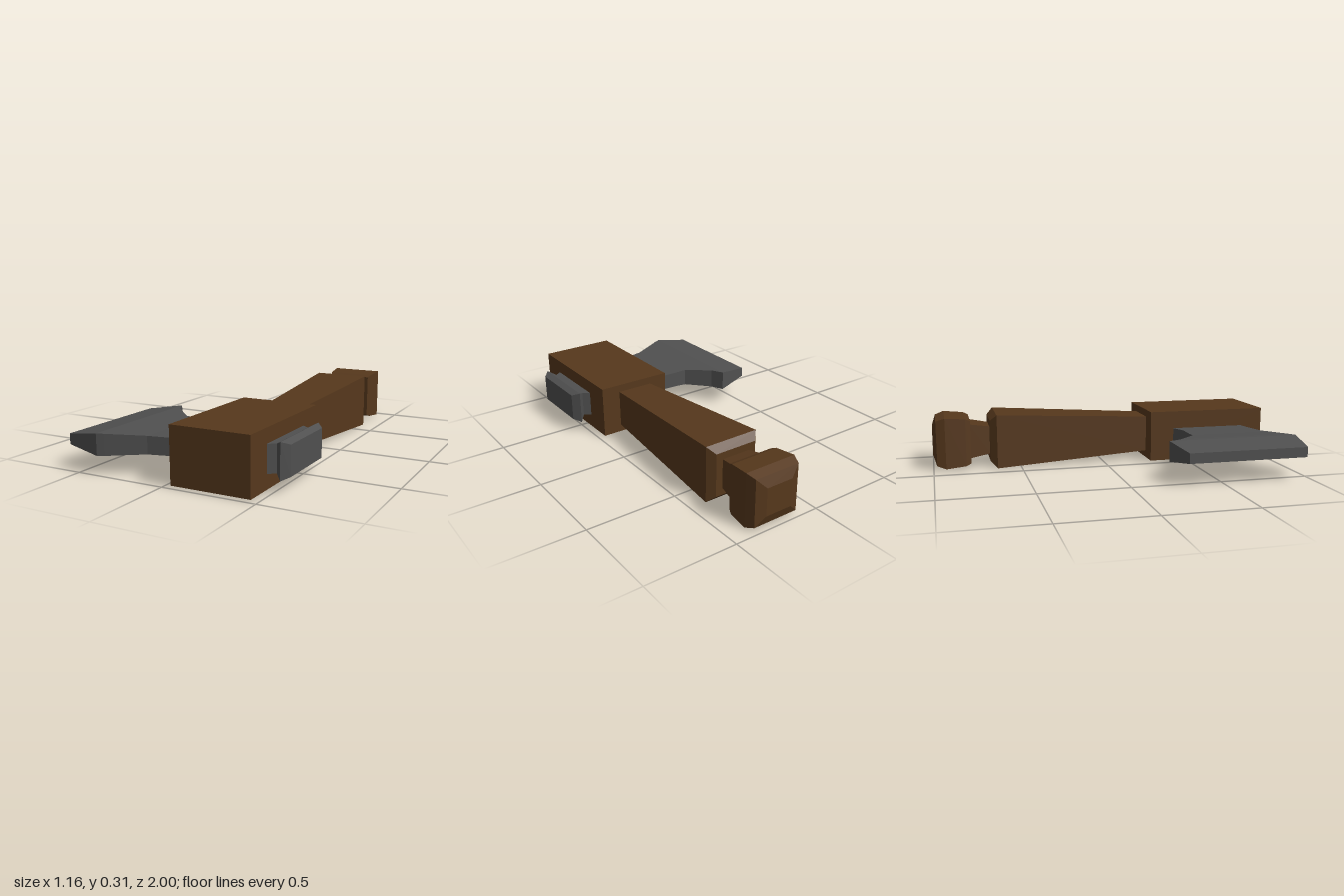
import * as THREE from 'three';

const CX = 0.25, CY = 0.159; // handle axis

// Flat-sided solid through rectangular sections [t, u0, u1, v0, v1], t increasing.
// place maps (t, u, v) to an [x, y, z] point.
function loft(sections, place) {
  const pos = [], idx = [];
  for (const [t, u0, u1, v0, v1] of sections) {
    for (const [u, v] of [[u0, v0], [u1, v0], [u1, v1], [u0, v1]]) pos.push(...place(t, u, v));
  }
  for (let i = 0; i < sections.length - 1; i++) {
    for (let k = 0; k < 4; k++) {
      const a = i * 4 + k, b = i * 4 + (k + 1) % 4;
      idx.push(a, b, b + 4, a, b + 4, a + 4);
    }
  }
  const e = (sections.length - 1) * 4;
  idx.push(0, 2, 1, 0, 3, 2, e, e + 1, e + 2, e, e + 2, e + 3);
  const g = new THREE.BufferGeometry();
  g.setAttribute('position', new THREE.Float32BufferAttribute(pos, 3));
  g.setIndex(idx);
  const flat = g.toNonIndexed();
  flat.computeVertexNormals();
  return flat;
}

// Square sections [z, half width] around the handle axis
const alongZ = (rows) => loft(
  rows.map(([z, h]) => [z, CX - h, CX + h, CY - h, CY + h]),
  (t, u, v) => [u, v, t]);

// Sections [x, zMin, zMax, half thickness] across the head
const alongX = (rows) => loft(
  rows.map(([x, z0, z1, h]) => [x, CY - h, CY + h, z0, z1]),
  (t, u, v) => [t, u, v]);

export function createModel() {
  const group = new THREE.Group();
  const wood = new THREE.MeshStandardMaterial({ color: 0x56381c, flatShading: true });
  const steel = new THREE.MeshStandardMaterial({ color: 0x505050, flatShading: true });
  const add = (name, geometry, material) => {
    const mesh = new THREE.Mesh(geometry, material);
    mesh.name = name;
    group.add(mesh);
    return mesh;
  };

  // Wooden block that holds the blade
  add('headBlock', new THREE.BoxGeometry(0.427, 0.295, 0.71), wood).position.set(0.252, CY, 0.627);

  // Handle widening toward the grip end, with a bevelled step
  add('handle', alongZ([[-0.675, 0.12], [-0.638, 0.156], [0.28, 0.105]]), wood);

  // Narrow neck and bevelled pommel
  add('neck', alongZ([[-0.79, 0.1], [-0.67, 0.08]]), wood);
  add('pommel', alongZ([
    [-1, 0.076], [-0.98, 0.13], [-0.93, 0.147], [-0.815, 0.137], [-0.787, 0.125],
  ]), wood);

  // Flared blade
  add('blade', alongX([
    [-0.58, 0.29, 0.965, 0.028], [-0.385, 0.245, 0.995, 0.057],
    [-0.35, 0.318, 0.98, 0.056], [-0.225, 0.437, 0.917, 0.05],
    [-0.16, 0.44, 0.885, 0.047], [-0.05, 0.445, 0.862, 0.046], [0.06, 0.405, 0.845, 0.045],
  ]), steel);

  // Bevelled hammer face opposite the blade
  add('hammerFace', alongX([
    [0.45, 0.42, 0.84, 0.071], [0.503, 0.455, 0.8, 0.071],
    [0.54, 0.412, 0.842, 0.092], [0.576, 0.45, 0.805, 0.076],
  ]), steel);

  return group;
}
